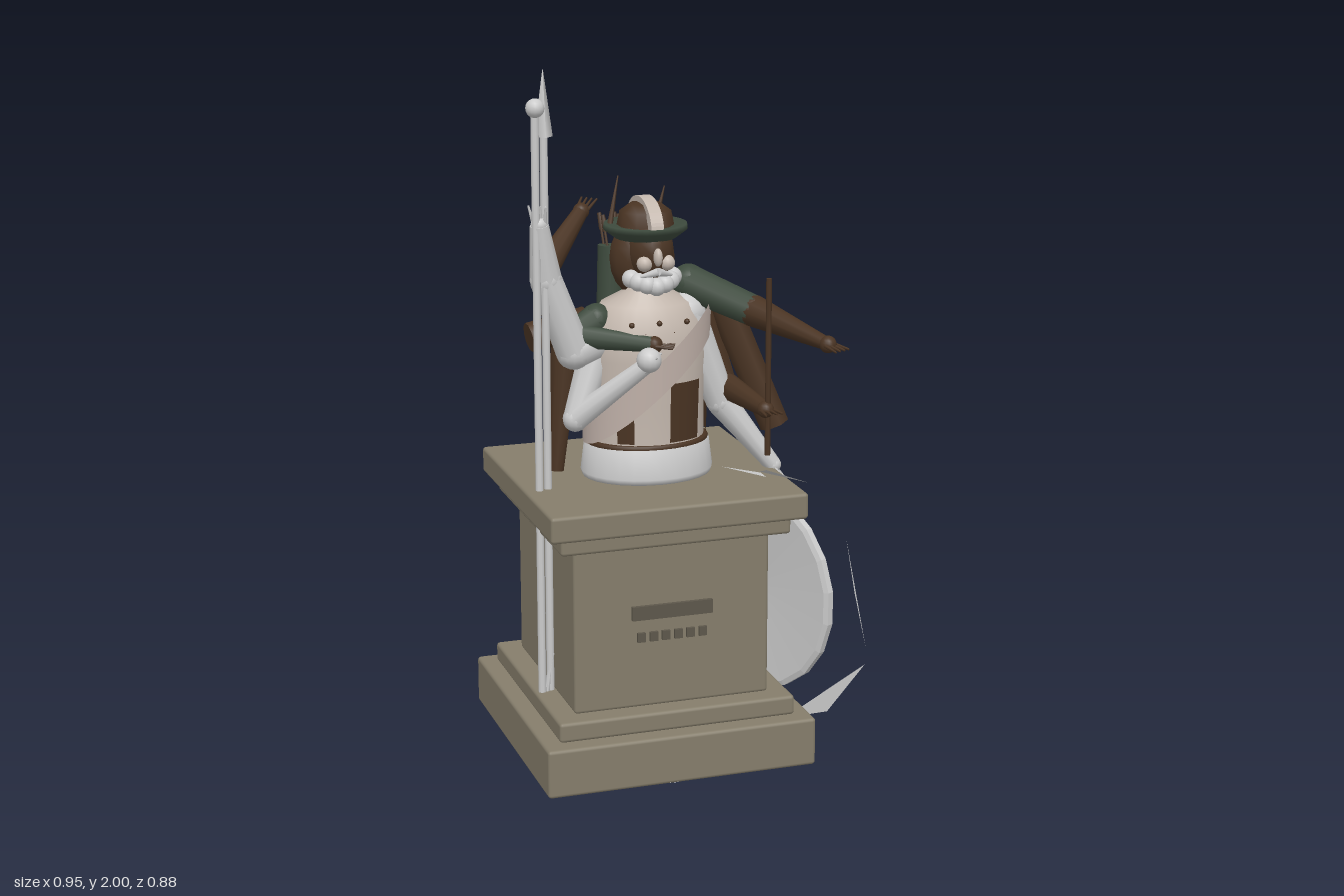
import * as THREE from 'three';
import { RoundedBoxGeometry } from 'three/addons/geometries/RoundedBoxGeometry.js';

const mat = (color, extra = {}) => new THREE.MeshStandardMaterial({ color, ...extra });
const stone = mat(0x857d6b), stoneDark = mat(0x5d574b), pale = mat(0xcccccc), cloth = mat(0xc4b8ae);
const brown = mat(0x4a3423), green = mat(0x3d4a3d);
const shardMat = mat(0xcccccc, { side: THREE.DoubleSide, flatShading: true });
const sashMat = mat(0xbfb0a8, { side: THREE.DoubleSide });
const V = (p) => new THREE.Vector3(...p);
const UP = new THREE.Vector3(0, 1, 0);

export function createModel() {
  const model = new THREE.Group();

  const add = (name, geo, material, pos = [0, 0, 0], parent = model) => {
    const m = new THREE.Mesh(geo, material);
    m.name = name;
    m.position.set(...pos);
    parent.add(m);
    return m;
  };
  // tapered rod between two points
  const rod = (name, a, b, r0, r1, material, parent = model, sides = 10) => {
    const d = V(b).sub(V(a));
    const m = add(name, new THREE.CylinderGeometry(r1, r0, d.length(), sides), material, [0, 0, 0], parent);
    m.position.copy(V(a)).addScaledVector(d, 0.5);
    m.quaternion.setFromUnitVectors(UP, d.normalize());
    return m;
  };
  const ball = (name, p, r, material, parent = model, scale = [1, 1, 1]) => {
    const m = add(name, new THREE.SphereGeometry(r, 14, 10), material, p, parent);
    m.scale.set(...scale);
    return m;
  };
  // arm through joints, ending in a palm with fingers
  const arm = (name, pts, radii, mats, handMat) => {
    const g = new THREE.Group();
    g.name = name;
    model.add(g);
    for (let i = 0; i < pts.length - 1; i++) {
      rod('armSegment', pts[i], pts[i + 1], radii[i], radii[i + 1], mats[i], g);
      ball('joint', pts[i], radii[i], mats[i], g);
    }
    const end = V(pts.at(-1)), dir = end.clone().sub(V(pts.at(-2))).normalize();
    const side = dir.clone().cross(UP).normalize();
    ball('palm', end.toArray(), 0.024, handMat, g);
    for (let i = -1.5; i <= 1.5; i++) {
      const a = end.clone().addScaledVector(side, i * 0.011);
      const b = a.clone().addScaledVector(dir, 0.055).addScaledVector(side, i * 0.006);
      rod('finger', a.toArray(), b.toArray(), 0.006, 0.003, handMat, g, 6);
    }
  };

  // Pedestal: stacked slabs [width, depth, bottom, top]
  const cx = -0.083, cz = -0.028;
  [['plinth', 0.785, 0.785, 0.035, 0.175], ['lowerStep', 0.69, 0.69, 0.175, 0.232],
    ['pedestalBody', 0.57, 0.57, 0.23, 0.715], ['capLower', 0.665, 0.665, 0.71, 0.762],
    ['capUpper', 0.74, 0.74, 0.76, 0.835]].forEach(([name, w, d, y0, y1]) =>
    add(name, new RoundedBoxGeometry(w, y1 - y0, d, 2, 0.01), stone, [cx, (y0 + y1) / 2, cz]));
  add('footDisc', new THREE.CylinderGeometry(0.285, 0.31, 0.04, 32), pale, [cx, 0.02, cz]);
  add('plaque', new THREE.BoxGeometry(0.235, 0.04, 0.02), stoneDark, [-0.085, 0.51, 0.258]);
  for (let i = 0; i < 6; i++)
    add('plaqueStud', new THREE.BoxGeometry(0.023, 0.027, 0.016), stoneDark, [-0.175 + i * 0.036, 0.438, 0.258]);

  // Round shield leaning at the side
  const shield = new THREE.Group();
  shield.name = 'shield';
  shield.position.set(0.315, 0.405, -0.163);
  shield.quaternion.setFromUnitVectors(UP, new THREE.Vector3(0.89, 0, -0.45).normalize());
  model.add(shield);
  const dish = [[0, -0.01], [0.3, -0.025], [0.315, -0.02], [0.315, 0], [0.3, 0.005], [0, 0.035]];
  add('shieldDish', new THREE.LatheGeometry(dish.map((p) => new THREE.Vector2(...p)), 20),
    mat(0xcccccc, { flatShading: true }), [0, 0, 0], shield);
  add('shieldGrip', new THREE.CylinderGeometry(0.055, 0.04, 0.03, 4), stone, [0, -0.02, 0], shield);

  // Thin shards beside the shield and on the cap
  const shard = (...pts) => {
    const g = new THREE.BufferGeometry().setFromPoints(pts.map(V));
    g.computeVertexNormals();
    add('shard', g, shardMat);
  };
  shard([0.45, 0.65, 0.22], [0.475, 0.35, 0.32], [0.46, 0.5, 0.265]);
  shard([0.475, 0.3, 0.315], [0.32, 0.07, 0.09], [0.4, 0.13, 0.22]);
  shard([0.07, 0.9, 0.225], [0.2, 0.86, 0.19], [0.2, 0.86, 0.235]);
  shard([0.2, 0.88, 0.235], [0.2, 0.86, 0.18], [0.34, 0.82, 0.2]);

  // Spear and ball-topped staff
  rod('spearShaft', [-0.385, 0.24, 0.07], [-0.385, 1.84, 0.07], 0.011, 0.011, pale);
  rod('spearHead', [-0.385, 1.82, 0.07], [-0.385, 2, 0.07], 0.026, 0.001, pale, model, 4);
  rod('staffShaft', [-0.412, 0.24, 0.08], [-0.412, 1.9, 0.08], 0.011, 0.011, pale);
  ball('staffKnob', [-0.412, 1.9, 0.085], 0.026, pale);
  for (const s of [-1, 1])
    rod('spearFoot', [-0.398 + s * 0.02, 0.35, 0.075], [-0.398, 0.24, 0.075], 0.004, 0.01, pale, model, 5);

  // Torso
  const torsoAt = [-0.07, 0, -0.015];
  const waist = [[0, 0.835], [0.185, 0.835], [0.19, 0.85], [0.18, 0.93], [0.15, 0.945], [0, 0.945]];
  add('waist', new THREE.LatheGeometry(waist.map((p) => new THREE.Vector2(...p)), 28), pale, torsoAt).scale.z = 0.82;
  const chest = [[0.165, 0.93], [0.165, 1.05], [0.175, 1.18], [0.17, 1.26], [0.13, 1.33], [0.06, 1.365], [0.05, 1.42]];
  const chestProfile = chest.map((p) => new THREE.Vector2(...p));
  add('chest', new THREE.LatheGeometry(chestProfile, 28), cloth, torsoAt).scale.z = 0.78;
  add('belt', new THREE.TorusGeometry(0.168, 0.01, 8, 28), brown, [-0.07, 0.935, -0.015]).rotation.x = Math.PI / 2;
  model.getObjectByName('belt').scale.y = 0.8;
  // curved panels following the chest: [start angle, sweep, bottom, top]
  for (const [a, w, y0, y1] of [[-0.75, 0.3, 0.95, 1.1], [0.15, 0.6, 0.95, 1.12], [1.2, 0.5, 0.95, 1.25], [2.4, 1.5, 0.95, 1.3]])
    add('tunicPanel', new THREE.CylinderGeometry(0.178, 0.172, y1 - y0, 10, 1, true, a, w),
      mat(0x4a3423, { side: THREE.DoubleSide }), [-0.07, (y0 + y1) / 2, -0.015]).scale.z = 0.8;
  // diagonal sash wrapped over the chest
  const sash = new THREE.CylinderGeometry(0.186, 0.184, 0.1, 36, 2, true);
  const sp = sash.attributes.position;
  for (let i = 0; i < sp.count; i++) sp.setY(i, sp.getY(i) + sp.getX(i) * 0.85);
  sash.computeVertexNormals();
  add('sash', sash, sashMat, [-0.07, 1.14, -0.015]).scale.z = 0.8;
  for (let i = 0; i < 5; i++)
    ball('tunicButton', [-0.15 + i * 0.04, 1.29 - (i % 2) * 0.03, 0.105], 0.008, brown);

  // Head, beard and hair
  ball('head', [-0.065, 1.475, 0], 0.075, brown, model, [0.9, 1.2, 1]);
  ball('hair', [-0.075, 1.45, -0.035], 0.095, brown, model, [1, 1.2, 0.75]);
  for (let i = 0; i < 7; i++) {
    const a = (i - 3) * 0.4;
    ball('beardCurl', [-0.065 + Math.sin(a) * 0.065, 1.385 + Math.abs(a) * 0.015, Math.cos(a) * 0.065], 0.026, pale);
  }
  ball('nose', [-0.065, 1.47, 0.078], 0.016, cloth, model, [0.8, 1.6, 1]);
  for (const s of [-1, 1]) {
    ball('cheek', [-0.065 + s * 0.033, 1.45, 0.058], 0.022, cloth);
    rod('moustache', [-0.065, 1.43, 0.082], [-0.065 + s * 0.045, 1.415, 0.06], 0.012, 0.005, pale);
  }

  // Hat with crest and feathers
  const hat = [[0.085, 1.51], [0.118, 1.535], [0.116, 1.55], [0.08, 1.545], [0.072, 1.585], [0.045, 1.605], [0, 1.61]];
  add('hatBrim', new THREE.LatheGeometry(hat.slice(0, 4).map((p) => new THREE.Vector2(...p)), 24),
    mat(0x3d4a3d, { side: THREE.DoubleSide }), [-0.07, 0, -0.02]);
  add('hatCrown', new THREE.LatheGeometry(hat.slice(3).map((p) => new THREE.Vector2(...p)), 10), brown, [-0.07, 0, -0.02]);
  const arc = new THREE.Shape();
  arc.absellipse(0, 0, 0.115, 0.085, 0, Math.PI, false);
  arc.absellipse(0, 0, 0.085, 0.05, Math.PI, 0, true);
  const crest = new THREE.ExtrudeGeometry(arc, { depth: 0.036, bevelEnabled: false, curveSegments: 14 });
  crest.translate(0, 0, -0.018).rotateY(Math.PI / 2);
  add('hatCrest', crest, cloth, [-0.07, 1.54, -0.022]);
  rod('feather', [-0.165, 1.54, -0.05], [-0.115, 1.665, -0.13], 0.009, 0.002, brown, model, 5);
  rod('feather', [-0.025, 1.55, -0.06], [0.012, 1.635, -0.1], 0.009, 0.002, brown, model, 5);

  // Pale arms: raised to the spear, folded over the chest, hanging
  const P = [pale, pale, pale], B = [brown, brown, brown];
  arm('raisedArm', [[-0.2, 1.24, 0.01], [-0.295, 1.21, 0.03], [-0.375, 1.42, 0.04], [-0.4, 1.58, 0.07]], [0.05, 0.05, 0.045, 0.026], P, pale);
  arm('foldedArm', [[-0.22, 1.2, 0], [-0.295, 1.02, 0.04], [-0.125, 1.18, 0.14]], [0.05, 0.036, 0.024], P, pale);
  ball('heldOrb', [-0.115, 1.2, 0.15], 0.035, pale);
  arm('hangingArm', [[0.04, 1.29, 0], [0.14, 1.03, 0.02], [0.285, 0.84, 0.06]], [0.06, 0.042, 0.024], P, pale);

  // Brown arms: reaching, holding the arrow, drawing, crossing the chest
  arm('reachingArm', [[0.06, 1.37, -0.03], [0.2, 1.31, 0.12], [0.32, 1.265, 0.38]], [0.052, 0.045, 0.018], [green, brown], brown);
  arm('arrowArm', [[0.08, 1.32, -0.03], [0.16, 1.07, -0.02], [0.19, 1.06, 0.25]], [0.05, 0.04, 0.022], B, brown);
  arm('drawingArm', [[-0.2, 1.25, -0.09], [-0.285, 1.22, -0.1], [-0.335, 1.41, -0.125], [-0.185, 1.545, -0.26]], [0.05, 0.046, 0.04, 0.022], B, brown);
  arm('crossingArm', [[-0.22, 1.29, 0], [-0.3, 1.255, 0.02], [-0.09, 1.235, 0.12]], [0.045, 0.036, 0.022], [green, green], brown);
  rod('openSleeve', [-0.22, 1.26, -0.1], [-0.39, 1.23, -0.09], 0.045, 0.042, brown);
  rod('hangingSleeve', [-0.28, 1.22, -0.1], [-0.318, 0.84, -0.08], 0.045, 0.022, brown);
  rod('cloakFold', [0.14, 1.34, 0], [0.285, 0.96, 0.07], 0.045, 0.042, brown, model, 6);
  rod('arrowStick', [0.195, 0.93, 0.255], [0.195, 1.43, 0.255], 0.008, 0.008, brown, model, 6);

  // Quivers with arrows on the back
  for (const [x, tilt, m] of [[-0.12, -0.03, green], [-0.035, 0.05, brown]]) {
    const top = [x, 1.46, -0.17];
    rod('quiver', [x + tilt, 0.95, -0.14], top, 0.034, 0.042, m, model, 14);
    for (let i = 0; i < 4; i++) {
      const dx = (i % 2 - 0.5) * 0.035, dz = (i > 1 ? -0.018 : 0.018);
      rod('arrowShaft', [x + dx, 1.44, -0.17 + dz], [x + dx * 1.3, 1.53, -0.2 + dz], 0.004, 0.004, brown, model, 5);
      rod('arrowFletching', [x + dx, 1.5, -0.19 + dz], [x + dx * 1.3, 1.545, -0.205 + dz], 0.01, 0.006, brown, model, 4);
    }
  }
  return model;
}
